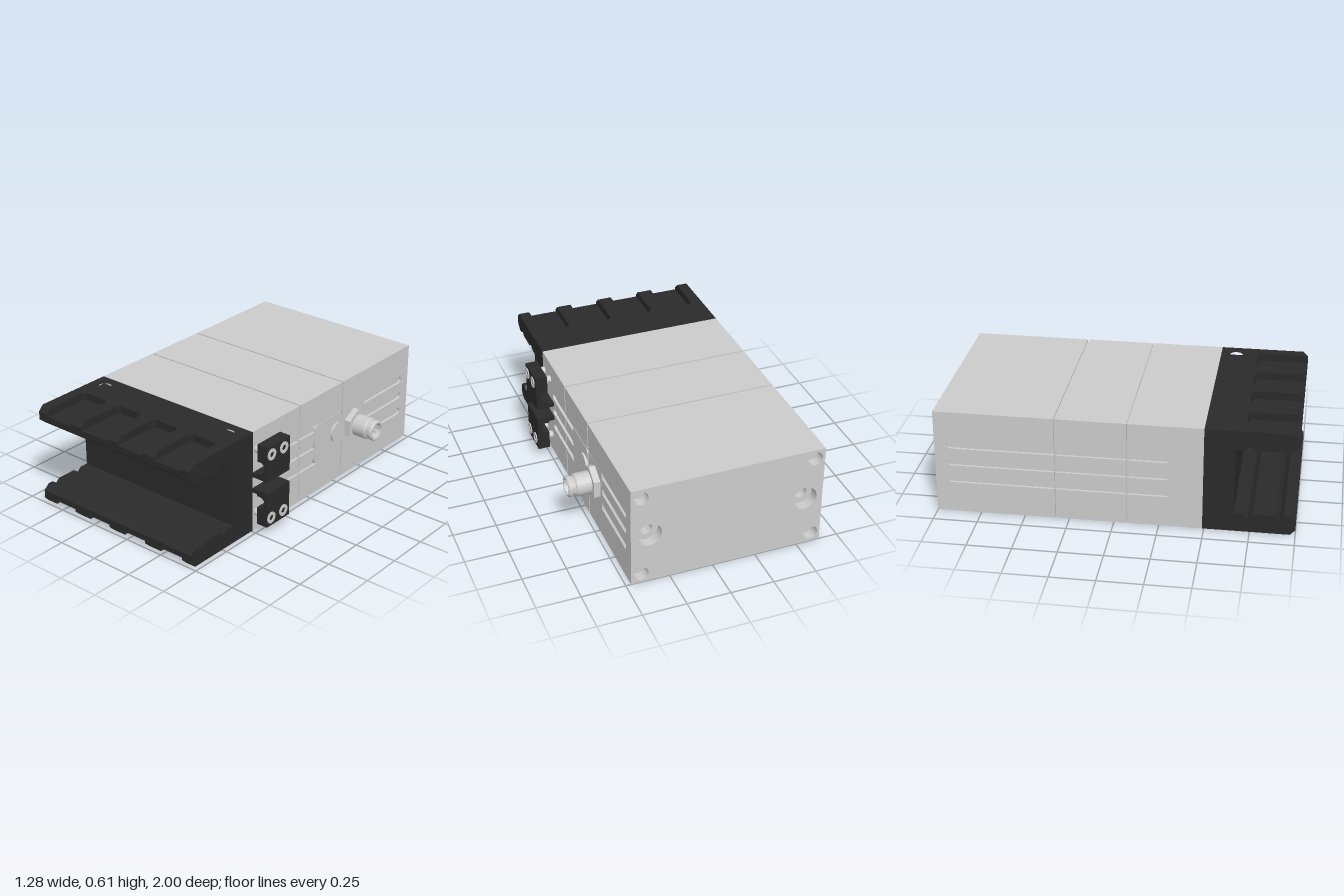
import * as THREE from 'three';
import { toCreasedNormals } from 'three/addons/utils/BufferGeometryUtils.js';

const grey = new THREE.MeshStandardMaterial({ color: 0xcccccc });
const black = new THREE.MeshStandardMaterial({ color: 0x2a2a2a });
const HW = 0.555, HH = 0.305;            // half width and half height of the housing
const slotY = [-0.105, 0, 0.105], slotR = 0.02;

function add(parent, name, geo, mat, x = 0, y = 0, z = 0) {
  const m = new THREE.Mesh(geo, mat);
  m.name = name;
  m.position.set(x, y, z);
  parent.add(m);
  return m;
}
// Box from its minimum and maximum corners
function slab(parent, name, mat, x0, x1, y0, y1, z0, z1) {
  return add(parent, name, new THREE.BoxGeometry(x1 - x0, y1 - y0, z1 - z0), mat,
    (x0 + x1) / 2, (y0 + y1) / 2, (z0 + z1) / 2);
}
function extrude(shape, depth, steps = 1) {
  return new THREE.ExtrudeGeometry(shape, { depth, steps, bevelEnabled: false, curveSegments: 20 });
}
const creased = g => toCreasedNormals(g, 0.6);
// Shape drawn in (z, y), filling x0..x1
const alongX = (shape, x0, x1) =>
  creased(extrude(shape, x1 - x0).rotateY(-Math.PI / 2).translate(x1, 0, 0));
// Shape drawn in (x, z), filling y0..y1
const alongY = (shape, y0, y1, steps) =>
  extrude(shape, y1 - y0, steps).rotateX(Math.PI / 2).translate(0, y1, 0);
const alongZ = (shape, z0, z1) => creased(extrude(shape, z1 - z0).translate(0, 0, z0));

const poly = pts => new THREE.Shape(pts.map(p => new THREE.Vector2(...p)));
const rect = (x0, x1, y0, y1) => poly([[x0, y0], [x1, y0], [x1, y1], [x0, y1]]);
function hole(shape, x, y, r) {
  shape.holes.push(new THREE.Path().absarc(x, y, r, 0, Math.PI * 2, true));
  return shape;
}
function roundRect(x0, x1, y0, y1, r) {
  const q = Math.PI / 2;
  return new THREE.Shape()
    .absarc(x1 - r, y0 + r, r, -q, 0).absarc(x1 - r, y1 - r, r, 0, q)
    .absarc(x0 + r, y1 - r, r, q, 2 * q).absarc(x0 + r, y0 + r, r, 2 * q, 3 * q);
}

// Side skin, closed at zClosed, with slots that end round at zEnd and run out at zOpen
function slottedSkin(zClosed, zEnd, zOpen) {
  const d = Math.sign(zOpen - zClosed), q = Math.PI / 2;
  const s = new THREE.Shape().moveTo(zClosed, -HH).lineTo(zOpen, -HH);
  for (const y of slotY) {
    s.lineTo(zOpen, y - slotR);
    s.absarc(zEnd + d * slotR, y, slotR, -q, d > 0 ? -3 * q : q, d > 0);
    s.lineTo(zOpen, y + slotR);
  }
  return s.lineTo(zOpen, HH).lineTo(zClosed, HH);
}

function housing() {
  const g = new THREE.Group(), t = 0.015;
  g.name = 'housing';
  slab(g, 'core', grey, -HW + 0.02, HW - 0.02, -HH + 0.01, HH - 0.01, -0.88, 0.48);
  // three sections separated by narrow seams
  for (const [z0, z1] of [[-0.88, -0.33], [-0.32, 0.07], [0.08, 0.49]])
    slab(g, 'section', grey, -HW + t, HW - t, -HH, HH, z0, z1);
  for (const s of [-1, 1]) {
    const x0 = s > 0 ? HW - t : -HW, x1 = x0 + t;
    add(g, 'rearSideSkin', alongX(slottedSkin(-0.94, -0.93, -0.33), x0, x1), grey);
    const front = slottedSkin(0.49, 0.31, 0.08);
    for (const z of [0.355, 0.465]) for (const y of [-0.195, 0.195]) hole(front, z, y, 0.016);
    add(g, 'frontSideSkin', alongX(front, x0, x1), grey);
    const edges = [-HH, ...slotY.flatMap(y => [y - slotR, y + slotR]), HH];
    for (let i = 0; i < edges.length; i += 2)
      slab(g, 'middleSideStrip', grey, x0, x1, edges[i], edges[i + 1], -0.32, 0.07);
  }
  // rear plate with corner holes and two counterbored holes
  const outer = rect(-HW, HW, -HH, HH), inner = rect(-HW + t, HW - t, -HH, HH);
  for (const s of [-1, 1]) {
    for (const u of [-1, 1]) hole(outer, s * (HW - 0.057), u * (HH - 0.057), 0.042);
    hole(outer, s * 0.45, 0, 0.07);
    hole(inner, s * 0.45, 0, 0.037);
  }
  add(g, 'rearPlate', alongZ(outer, -1, -0.94), grey);
  add(g, 'rearPlateInner', alongZ(inner, -0.94, -0.88), grey);
  // side panel with round cap, and the flat under the connector
  add(g, 'sidePanel', alongX(roundRect(-0.318, -0.065, -0.125, 0.125, 0.03), HW - t, HW + 0.003), grey);
  slab(g, 'connectorFlat', grey, HW - t, HW + 0.001, -0.125, 0.125, -0.55, -0.332);
  add(g, 'panelCap', new THREE.CylinderGeometry(0.058, 0.058, 0.02, 32), grey, HW + 0.006, 0.01, -0.27)
    .rotation.z = Math.PI / 2;
  return g;
}

// Outer layer of a jaw arm: open pockets, bolt holes, chamfered front edge
function armLayer(boltR, small) {
  const q = Math.PI / 2, r = 0.03, back = 0.71;
  const s = new THREE.Shape().moveTo(-HW, 0.49).lineTo(-HW, 1);
  for (const x of [-0.4, -0.133, 0.133, 0.4]) {
    s.lineTo(x - 0.09, 1);
    s.absarc(x - 0.09 + r, back + r, r, 2 * q, 3 * q);
    s.absarc(x + 0.09 - r, back + r, r, -q, 0);
    s.lineTo(x + 0.09, 1);
  }
  s.lineTo(HW, 1).lineTo(HW, 0.49);
  for (const x of [-0.455, 0.455]) hole(s, x, 0.58, boltR);
  if (small) for (const x of [-0.26, -0.087, 0.087, 0.26]) hole(s, x, 0.62, 0.022);
  const geo = alongY(s, 0.26, HH, 3), p = geo.attributes.position;
  for (let i = 0; i < p.count; i++)
    if (p.getZ(i) > 0.999) p.setZ(i, 1 - Math.max(0, p.getY(i) - 0.275));
  return creased(geo);
}

function jaw() {
  const g = new THREE.Group();
  g.name = 'jaw';
  const web = rect(-HW, HW, 0.49, 0.66);
  for (const x of [-0.455, 0.455]) hole(web, x, 0.58, 0.037);
  add(g, 'jawWeb', creased(alongY(web, -0.26, 0.26)), black);
  // inner face of the arm with two V grooves
  const profile = poly([[0.66, 0.26], [1, 0.26], [1, 0.225], [0.965, 0.195], [0.935, 0.195],
    [0.91, 0.22], [0.885, 0.195], [0.765, 0.195], [0.738, 0.22], [0.712, 0.195], [0.66, 0.195]]);
  for (const top of [true, false]) {
    const arm = new THREE.Group();
    arm.name = top ? 'upperArm' : 'lowerArm';
    add(arm, 'armInner', alongX(profile, -HW, HW), black);
    add(arm, 'armOuter', armLayer(top ? 0.037 : 0.065, top), black);
    if (!top) arm.rotation.z = Math.PI;
    g.add(arm);
  }
  return g;
}

// Clamp block with a round channel; s = 1 upper, -1 lower
function clamp(s) {
  const g = new THREE.Group();
  g.name = s > 0 ? 'upperClamp' : 'lowerClamp';
  const c = new THREE.Shape().moveTo(HW, s * 0.035).lineTo(0.66, s * 0.035)
    .lineTo(0.66, s * 0.245).lineTo(0.59, s * 0.245)
    .absarc(0.605, s * 0.107, 0.036, s * 2, -s * 2, s > 0)
    .lineTo(0.59, s * 0.06).lineTo(HW, s * 0.06);
  add(g, 'clampBlock', alongZ(c, 0.3, 0.495), black);
  for (const z of [0.355, 0.46]) {
    add(g, 'clampScrewShaft', new THREE.CylinderGeometry(0.022, 0.022, 0.06, 20), grey, 0.575, s * 0.195, z)
      .rotation.z = Math.PI / 2;
    const head = new THREE.Shape().absarc(0, 0, 0.034, 0, Math.PI * 2);
    const hex = [...Array(6)].map((_, i) =>
      new THREE.Vector2(0.018 * Math.cos(i * Math.PI / 3), 0.018 * Math.sin(i * Math.PI / 3)));
    head.holes.push(new THREE.Path(hex));
    add(g, 'clampScrewHead', alongX(head, 0.655, 0.665), grey, 0, s * 0.195, z);
  }
  return g;
}

// Round plug connector, built upright and then laid along +x
function connector() {
  const g = new THREE.Group();
  g.name = 'connector';
  const nut = toCreasedNormals(new THREE.CylinderGeometry(0.1, 0.1, 0.038, 6), 0.3);
  // one corner of the nut points up once the part is laid over
  add(g, 'nut', nut, grey, 0, 0.019, 0).rotation.y = Math.PI / 2;
  const pts = [[0.065, 0.03], [0.065, 0.12], [0.058, 0.128], [0.054, 0.128], [0.054, 0.142],
    [0.061, 0.146], [0.061, 0.162], [0.055, 0.17], [0.046, 0.17], [0.046, 0.1], [0, 0.1]];
  const body = new THREE.LatheGeometry(pts.map(p => new THREE.Vector2(...p)), 36);
  add(g, 'plugBody', toCreasedNormals(body, 0.5), grey);
  for (let i = 0; i < 5; i++) {
    const a = i * Math.PI / 2 + Math.PI / 4, r = i < 4 ? 0.025 : 0;
    add(g, 'pin', new THREE.CylinderGeometry(0.007, 0.007, 0.05, 10), grey,
      r * Math.cos(a), 0.125, r * Math.sin(a));
  }
  g.rotation.z = -Math.PI / 2;
  g.position.set(HW, 0, -0.44);
  return g;
}

export function createModel() {
  const model = new THREE.Group(), body = new THREE.Group();
  model.name = 'gripperUnit';
  body.name = 'assembly';
  body.add(housing(), jaw(), clamp(1), clamp(-1), connector());
  body.position.set(-0.085, HH, 0);
  model.add(body);
  return model;
}
